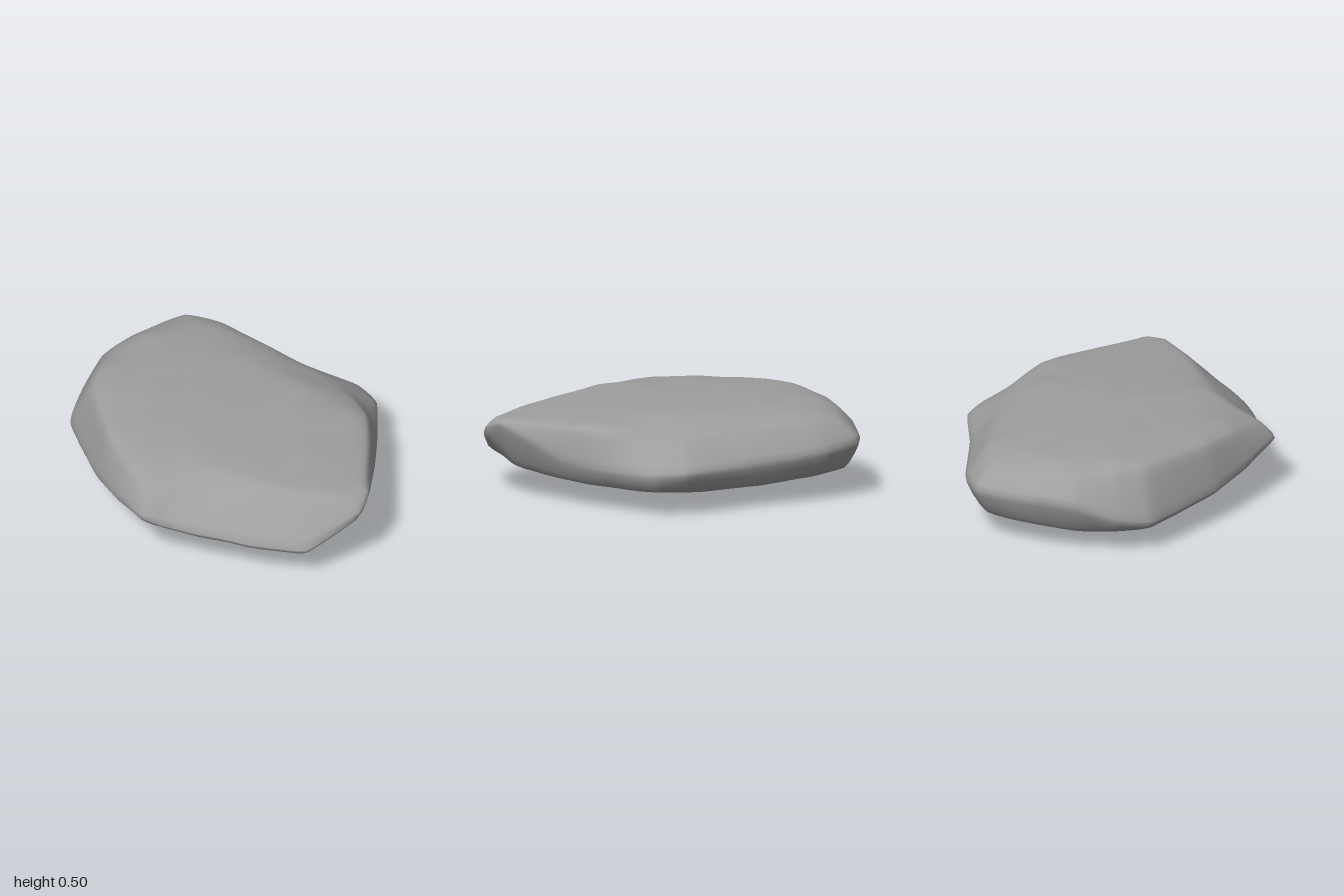
import * as THREE from 'three';

// Each row: outline x, z, height of the widest edge,
// then inset and height of the upper rim, inset and height of the lower rim
const OUTLINE = [
  [1.00, 0.07, 0.34, 0.93, 0.42, 0.86, 0.17],
  [0.95, -0.06, 0.39, 0.96, 0.425, 0.88, 0.16],
  [0.69, -0.38, 0.26, 0.96, 0.42, 0.93, 0.14],
  [0.52, -0.58, 0.23, 0.93, 0.41, 0.93, 0.13],
  [0.30, -0.81, 0.24, 0.79, 0.39, 0.95, 0.14],
  [0.12, -0.85, 0.25, 0.79, 0.385, 0.93, 0.14],
  [-0.20, -0.765, 0.25, 0.83, 0.40, 0.93, 0.12],
  [-0.70, -0.68, 0.28, 0.88, 0.415, 0.92, 0.14],
  [-0.92, -0.57, 0.31, 0.90, 0.415, 0.92, 0.15],
  [-0.99, -0.25, 0.31, 0.90, 0.43, 0.92, 0.13],
  [-1.00, -0.02, 0.30, 0.89, 0.43, 0.91, 0.12],
  [-0.94, 0.20, 0.22, 0.89, 0.435, 0.94, 0.12],
  [-0.84, 0.385, 0.18, 0.88, 0.435, 0.94, 0.12],
  [-0.42, 0.64, 0.21, 0.91, 0.435, 0.92, 0.15],
  [-0.15, 0.76, 0.24, 0.91, 0.415, 0.87, 0.16],
  [0.11, 0.845, 0.29, 0.91, 0.38, 0.85, 0.17],
  [0.22, 0.785, 0.26, 0.83, 0.405, 0.84, 0.16],
  [0.40, 0.69, 0.24, 0.74, 0.43, 0.84, 0.14],
  [0.65, 0.56, 0.23, 0.71, 0.435, 0.84, 0.13],
  [0.89, 0.37, 0.21, 0.76, 0.425, 0.88, 0.13],
];
const AROUND = 100, DOWN = 32;

// Gently domed upper face, falling towards +x
function cap(x, z) {
  const fall = x > 0 ? 0.1 * Math.max(0, x - 0.15) : 0.03 * x * x;
  return 0.503 - fall - 0.1 * z * z;
}

// Closed curve round the slab; pick gives the point for one outline row
function ring(pick) {
  const points = OUTLINE.map(r => new THREE.Vector3(...pick(r)));
  return new THREE.CatmullRomCurve3(points, true, 'catmullrom', 0.2);
}

// Slight unevenness of the worn stone, continuous over the surface
function ripple(p) {
  return 0.003 * Math.sin(7 * p.x + 3 * p.z) * Math.cos(9 * p.z - 4 * p.x)
    + 0.003 * Math.sin(17 * p.x + 11 * p.y) * Math.sin(15 * p.z + 2);
}

function stoneGeometry() {
  const rings = [
    ring(([x, z]) => [x * 0.48, cap(x * 0.48, z * 0.48), z * 0.48]),
    ring(([x, z, , t, ty]) => {
      const s = t * 0.86;
      return [x * s, Math.min(cap(x * s, z * s), ty + 0.045), z * s];
    }),
    ring(([x, z, , t, ty]) => [x * t, ty, z * t]),
    ring(([x, z, y]) => [x, y, z]),
    ring(([x, z, , , , b, by]) => [x * b, by, z * b]),
    ring(([x, z, , , , b, by]) => [x * b * 0.78, by * 0.68, z * b * 0.78]),
    ring(([x, z, , , , , by]) => [x * 0.38, by * 0.25, z * 0.38]),
  ];
  const top = new THREE.Vector3(0, cap(0, 0), 0), bottom = new THREE.Vector3(-0.06, 0, -0.06);
  const positions = [top.x, top.y, top.z], index = [];

  // Sections run from the top centre over the rim to the bottom centre
  for (let i = 0; i < AROUND; i++) {
    const section = new THREE.CatmullRomCurve3(
      [top, ...rings.map(r => r.getPoint(i / AROUND)), bottom], false, 'catmullrom', 0.3);
    for (let j = 1; j < DOWN; j++) {
      const p = section.getPoint(j / DOWN);
      const fade = Math.min(1, Math.hypot(p.x, p.z) * 1.5);
      positions.push(p.x, Math.max(0, p.y + ripple(p) * fade), p.z);
    }
  }
  positions.push(bottom.x, bottom.y, bottom.z);

  // Outline runs anticlockwise seen from above
  const at = (i, j) => 1 + (i % AROUND) * (DOWN - 1) + j;
  const last = positions.length / 3 - 1;
  for (let i = 0; i < AROUND; i++) {
    index.push(0, at(i, 0), at(i + 1, 0));
    for (let j = 0; j < DOWN - 2; j++) {
      const a = at(i, j), b = at(i, j + 1), c = at(i + 1, j + 1), d = at(i + 1, j);
      index.push(a, b, c, a, c, d);
    }
    index.push(at(i, DOWN - 2), last, at(i + 1, DOWN - 2));
  }
  const geometry = new THREE.BufferGeometry();
  geometry.setAttribute('position', new THREE.Float32BufferAttribute(positions, 3));
  geometry.setIndex(index);
  geometry.computeVertexNormals();
  return geometry;
}

export function createModel() {
  const group = new THREE.Group();
  group.name = 'flatRock';
  const stone = new THREE.Mesh(stoneGeometry(), new THREE.MeshStandardMaterial({ color: 0x9e9e9e }));
  stone.name = 'stoneSlab';
  group.add(stone);
  return group;
}
